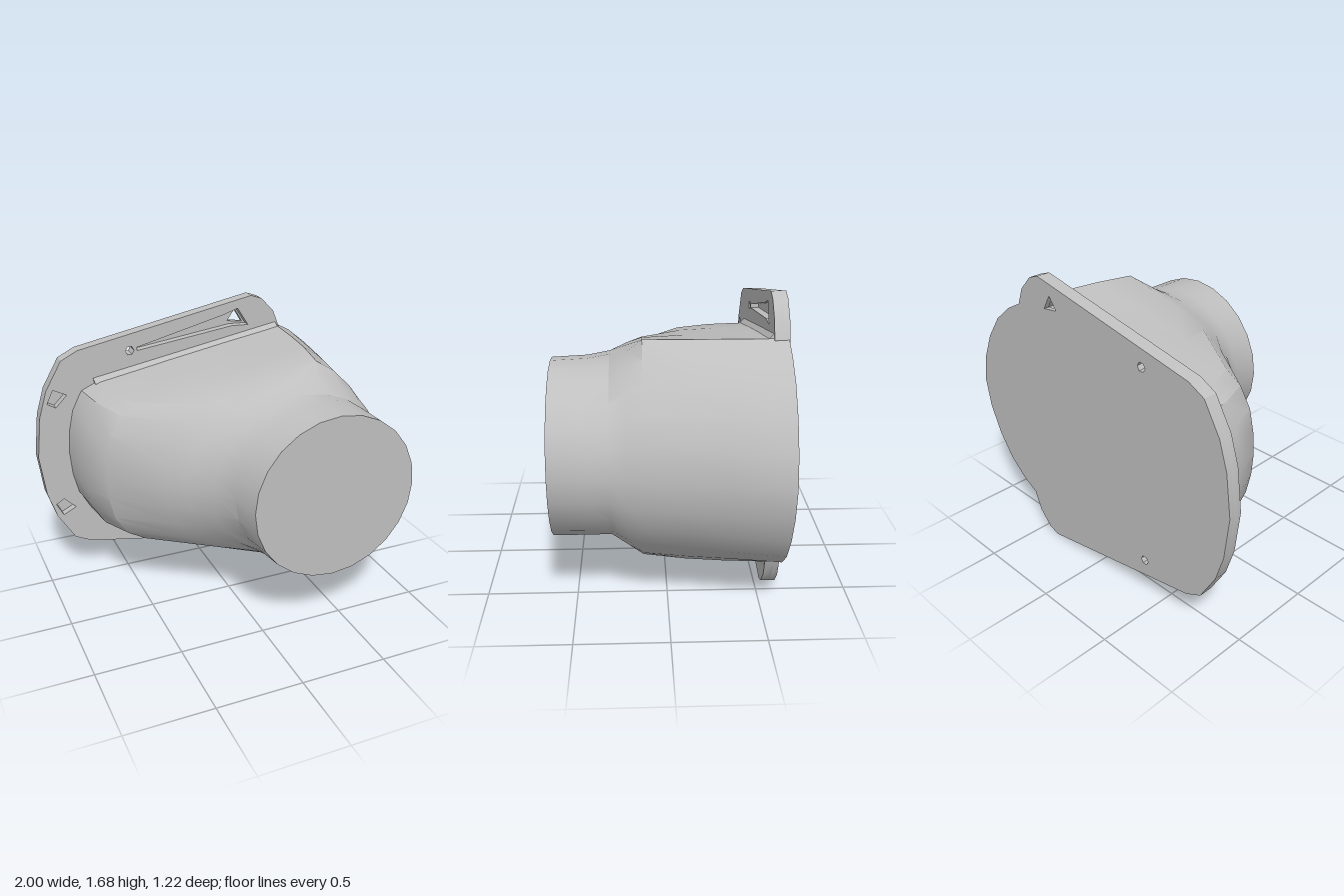
import * as THREE from 'three';
import { toCreasedNormals } from 'three/addons/utils/BufferGeometryUtils.js';

const CY = 0.84; // height of the mirror plane

// Half ellipse from right to left, 13 points
const ellipse = (cx, rx, ry) => Array.from({ length: 13 }, (_, i) => {
  const a = (i / 12) * Math.PI;
  return [cx + rx * Math.cos(a), ry * Math.sin(a)];
});

// Upper halves of the housing cross-sections, back to front
const sections = [
  [-0.61, [[1, 0], [0.97, 0.17], [0.9, 0.33], [0.8, 0.47], [0.68, 0.57], [0.56, 0.635], [0.2, 0.575],
    [-0.2, 0.505], [-0.62, 0.43], [-0.72, 0.385], [-0.78, 0.27], [-0.81, 0.14], [-0.82, 0]]],
  [-0.3, [[0.945, 0], [0.92, 0.17], [0.86, 0.32], [0.77, 0.45], [0.66, 0.55], [0.54, 0.63], [0.2, 0.57],
    [-0.2, 0.5], [-0.58, 0.43], [-0.68, 0.385], [-0.75, 0.27], [-0.78, 0.14], [-0.79, 0]]],
  [-0.1, [[0.91, 0], [0.89, 0.17], [0.83, 0.31], [0.74, 0.44], [0.63, 0.55], [0.52, 0.625], [0.2, 0.565],
    [-0.2, 0.49], [-0.5, 0.43], [-0.6, 0.37], [-0.67, 0.26], [-0.7, 0.13], [-0.71, 0]]],
  [0.13, [[0.885, 0], [0.86, 0.17], [0.8, 0.31], [0.71, 0.43], [0.6, 0.54], [0.48, 0.615], [0.3, 0.58],
    [0.08, 0.525], [-0.12, 0.455], [-0.26, 0.37], [-0.36, 0.25], [-0.425, 0.12], [-0.44, 0]]],
  [0.21, [[0.87, 0], [0.85, 0.16], [0.79, 0.3], [0.7, 0.41], [0.58, 0.5], [0.45, 0.545], [0.3, 0.54],
    [0.12, 0.505], [-0.06, 0.435], [-0.18, 0.34], [-0.27, 0.23], [-0.32, 0.12], [-0.34, 0]]],
  [0.3, ellipse(0.32, 0.54, 0.495)],
  [0.42, ellipse(0.36, 0.5, 0.485)],
  [0.61, ellipse(0.375, 0.485, 0.48)],
];

// Loft mirrored half sections into a closed solid
function loft(list) {
  const pos = [], idx = [];
  const n = 24;
  for (const [z, half] of list) {
    const lower = half.slice(1, -1).reverse().map(([x, d]) => [x, -d]);
    for (const [x, d] of [...half, ...lower]) pos.push(x, CY + d, z);
  }
  for (let s = 0; s < list.length - 1; s++) {
    for (let i = 0; i < n; i++) {
      const j = (i + 1) % n;
      const a = s * n + i, b = s * n + j, c = b + n, d = a + n;
      idx.push(a, b, c, a, c, d);
    }
  }
  const last = (list.length - 1) * n;
  const back = pos.length / 3;
  pos.push(0.2, CY, list[0][0], 0.375, CY, list[list.length - 1][0]);
  for (let i = 0; i < n; i++) {
    const j = (i + 1) % n;
    idx.push(back, j, i, back + 1, last + i, last + j);
  }
  const g = new THREE.BufferGeometry();
  g.setAttribute('position', new THREE.Float32BufferAttribute(pos, 3));
  g.setIndex(idx);
  return toCreasedNormals(g, 0.5);
}

const toPoints = (list) => list.map(([x, d]) => new THREE.Vector2(x, CY + d));
const flip = (list) => list.map(([x, d]) => [x, -d]);

// Flange outline, upper half, right to left
const rim = [[0.5, 0.3], [0.57, 0.63], [0.53, 0.73], [0.45, 0.815], [0.38, 0.84], [-0.72, 0.63],
  [-0.82, 0.58], [-0.92, 0.41], [-0.97, 0.25]];

// Openings, given for the upper wing
const screwHole = Array.from({ length: 6 }, (_, i) =>
  [-0.405 + 0.027 * Math.cos(i * Math.PI / 3), 0.59 + 0.027 * Math.sin(i * Math.PI / 3)]);
const endHole = [[0.24, 0.685], [0.34, 0.67], [0.29, 0.755]];
const groove = [[-0.36, 0.585], [0.25, 0.665], [0.36, 0.66], [0.29, 0.77], [0.2, 0.74], [-0.36, 0.605]];
const cornerPocket = [[-0.92, 0.33], [-0.87, 0.3], [-0.8, 0.37], [-0.88, 0.41]];

function plate(holes, z, depth) {
  const shape = new THREE.Shape(toPoints([...rim, [-1, 0], ...flip(rim).reverse()]));
  for (const h of holes) shape.holes.push(new THREE.Path(toPoints(h)));
  const g = new THREE.ExtrudeGeometry(shape, { depth, bevelEnabled: false });
  g.translate(0, 0, z);
  return toCreasedNormals(g, 0.5);
}

export function createModel() {
  const group = new THREE.Group();
  const grey = new THREE.MeshStandardMaterial({ color: 0xbfbfbf });
  grey.name = 'plain grey';
  const add = (name, geometry) => {
    const mesh = new THREE.Mesh(geometry, grey);
    mesh.name = name;
    group.add(mesh);
  };

  // Housing flowing from the wedge-shaped back into the round front
  add('housing', loft(sections));

  // Mounting flange: pierced back layer, grooved front layer
  add('flangeBack', plate([screwHole, flip(screwHole), endHole], -0.614, 0.03));
  add('flangeFront', plate(
    [screwHole, groove, cornerPocket].flatMap((h) => [h, flip(h)]), -0.584, 0.049));

  // Small fillet strips where the wings meet the housing
  for (const side of [1, -1]) {
    const g = new THREE.CylinderGeometry(0.03, 0.03, 1.2, 4);
    g.rotateZ(-Math.PI / 2 + side * 0.172);
    g.translate(-0.04, CY + side * 0.525, -0.535);
    add(side > 0 ? 'upperFillet' : 'lowerFillet', toCreasedNormals(g, 0.5));
  }
  return group;
}
